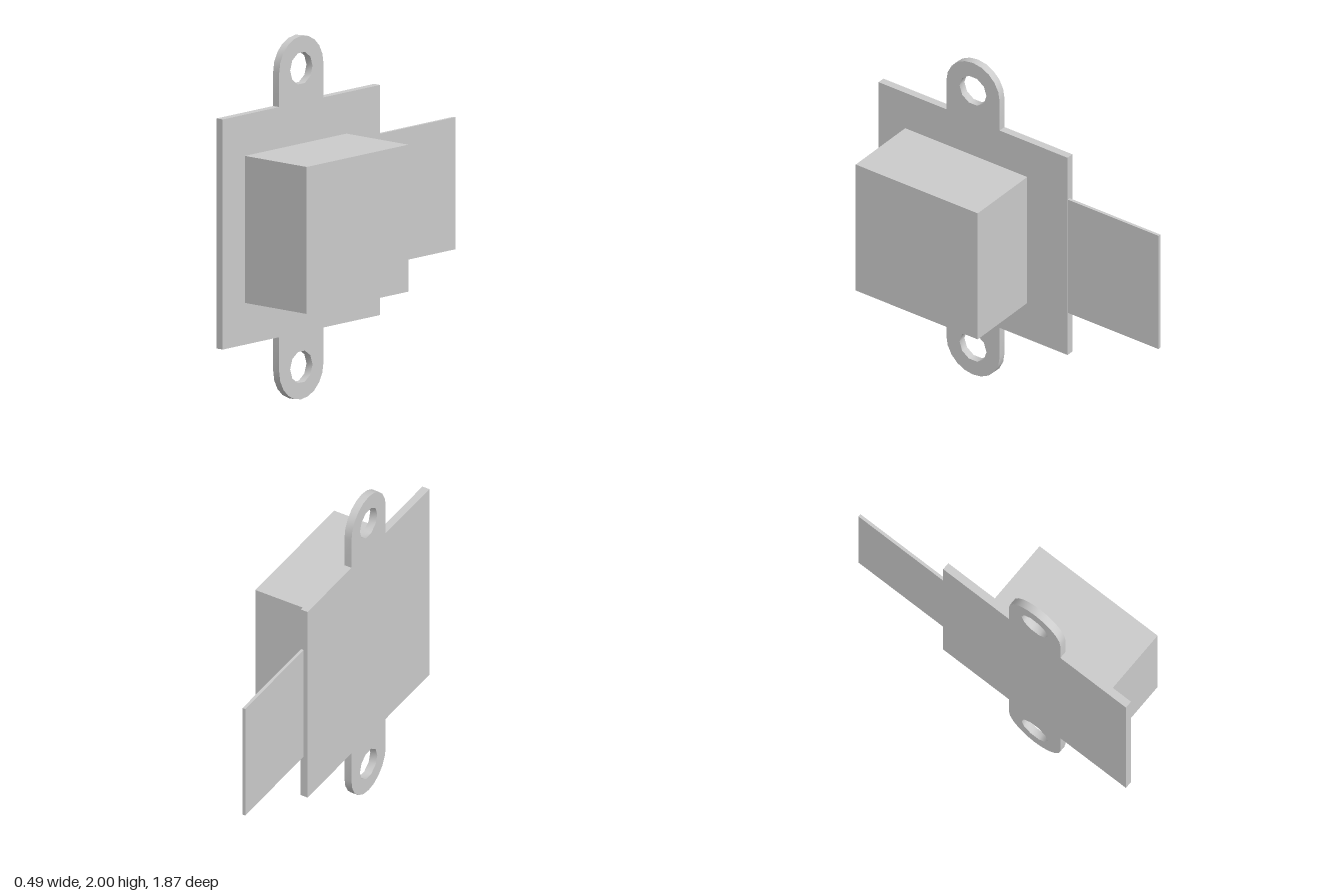
import * as THREE from 'three';
import { toCreasedNormals } from 'three/addons/utils/BufferGeometryUtils.js';

const material = new THREE.MeshStandardMaterial({ color: 0xcccccc });

// Box given by its minimum and maximum corners
function block(name, min, max) {
  const size = max.map((v, i) => v - min[i]);
  const mesh = new THREE.Mesh(new THREE.BoxGeometry(...size), material);
  mesh.position.set(...max.map((v, i) => (v + min[i]) / 2));
  mesh.name = name;
  return mesh;
}

// Square plate with a rounded, drilled lug above and below.
// Drawn with shape x = -z, then turned so its thickness runs along x.
function mountingPlate() {
  const bottom = 0.37, top = 1.635, front = -0.935, back = 0.33;
  const lugX = -0.303, lugR = 0.178, holeR = 0.09, lugYs = [0.18, 1.822];

  const outline = new THREE.Shape();
  outline.moveTo(front, bottom);
  outline.lineTo(lugX - lugR, bottom);
  outline.absarc(lugX, lugYs[0], lugR, Math.PI, Math.PI * 2);
  outline.lineTo(lugX + lugR, bottom);
  outline.lineTo(back, bottom);
  outline.lineTo(back, top);
  outline.lineTo(lugX + lugR, top);
  outline.absarc(lugX, lugYs[1], lugR, 0, Math.PI);
  outline.lineTo(lugX - lugR, top);
  outline.lineTo(front, top);
  outline.closePath();

  // Screw holes
  for (const y of lugYs) {
    outline.holes.push(new THREE.Path().absarc(lugX, y, holeR, 0, Math.PI * 2, true));
  }

  const geometry = new THREE.ExtrudeGeometry(outline, { depth: 0.044, bevelEnabled: false, curveSegments: 5 });
  geometry.rotateY(Math.PI / 2);
  geometry.translate(-0.248, 0, 0);
  const mesh = new THREE.Mesh(toCreasedNormals(geometry, 0.7), material);
  mesh.name = 'mountingPlate';
  return mesh;
}

export function createModel() {
  const group = new THREE.Group();
  group.name = 'module';
  group.add(
    mountingPlate(),
    block('housing', [-0.204, 0.6, -0.06], [0.245, 1.408, 0.757]),
    // Thin strip leaving the rear edge of the plate
    block('flatCable', [-0.223, 0.64, -0.937], [-0.206, 1.366, -0.33])
  );
  return group;
}
